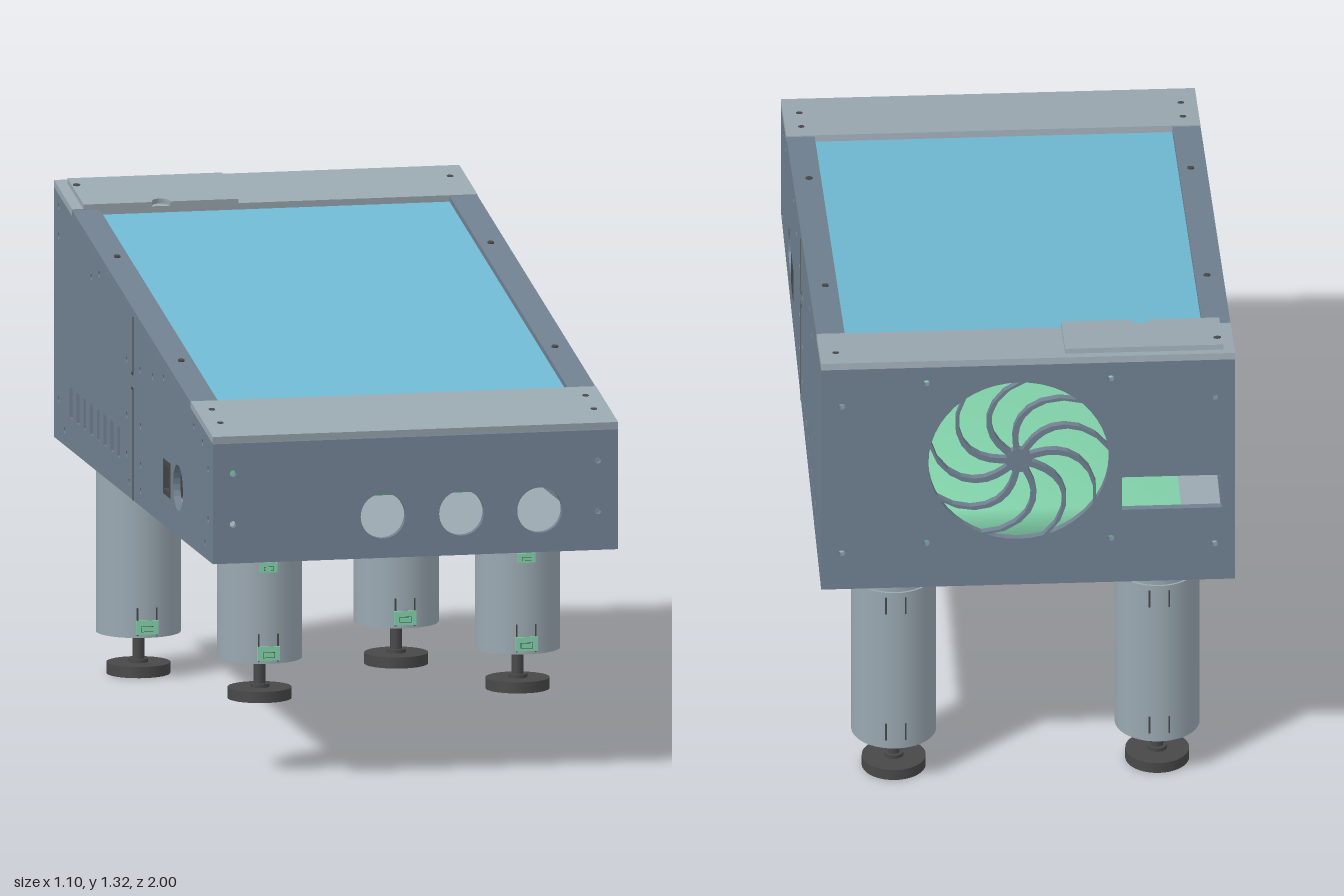
import * as THREE from 'three';
import { mergeVertices } from 'three/addons/utils/BufferGeometryUtils.js';

const mat = (name, color, side = THREE.FrontSide) => {
  const m = new THREE.MeshStandardMaterial({ color, side });
  m.name = name;
  return m;
};

export function createModel() {
  const body = mat('slate body', 0x708090);
  const light = mat('light grey', 0x9aa8b1);
  const dark = mat('dark grey', 0x484848);
  const blue = mat('screen blue', 0x6fb9d2);
  const green = mat('mint green', 0x80d0a8);
  const brown = mat('board brown', 0xb8864b);

  const model = new THREE.Group();
  model.name = 'slopedConsole';

  const add = (parent, name, geo, material, x = 0, y = 0, z = 0) => {
    const m = new THREE.Mesh(geo, material);
    m.name = name;
    m.position.set(x, y, z);
    parent.add(m);
    return m;
  };
  const box = (parent, name, w, h, d, material, x, y, z) =>
    add(parent, name, new THREE.BoxGeometry(w, h, d), material, x, y, z);
  const cyl = (parent, name, r, y0, y1, material, x = 0, z = 0, seg = 40) =>
    add(parent, name, new THREE.CylinderGeometry(r, r, y1 - y0, seg), material, x, (y0 + y1) / 2, z);

  const polygon = (pts) => new THREE.Shape(pts.map((p) => new THREE.Vector2(...p)));
  const rectPts = (x, y, w, h) => [
    [x - w / 2, y - h / 2], [x + w / 2, y - h / 2], [x + w / 2, y + h / 2], [x - w / 2, y + h / 2]];
  const rectHole = (s, x, y, w, h) => s.holes.push(polygon(rectPts(x, y, w, h)));
  const roundHole = (s, x, y, r) => s.holes.push(new THREE.Path().absarc(x, y, r, 0, Math.PI * 2, true));
  const extrude = (shape, depth, curveSegments = 12) =>
    new THREE.ExtrudeGeometry(shape, { depth, bevelEnabled: false, curveSegments });

  const T = 0.02, FLOOR = 0.62, SLOPE = 0.175;
  const wallTop = (z) => 1.118 - SLOPE * z;

  // Side walls, drawn with shape x = -z
  const side = polygon([[-1, FLOOR], [1, FLOOR], [1, wallTop(-1)], [-1, wallTop(1)]]);
  const screws = [[0.94, 0.865], [0.94, 0.73], [0.9, 0.66], [0.87, 0.925], [0.76, 0.95],
    [0.38, 1.015], [0.24, 0.995], [0.085, 0.985], [0.09, 0.835], [0.09, 0.73], [0.09, 0.66],
    [-0.085, 0.985], [-0.085, 0.835], [-0.085, 0.73], [-0.055, 0.66], [-0.43, 1.155],
    [-0.53, 1.13], [-0.94, 1.25], [-0.94, 1.17], [-0.94, 0.73], [-0.865, 0.66]];
  screws.forEach(([z, y]) => roundHole(side, -z, y, 0.009));
  for (let i = 0; i < 8; i++) rectHole(side, 0.185 + i * 0.0855, 0.747, 0.036, 0.083);
  roundHole(side, -0.56, 0.75, 0.062);
  rectHole(side, -0.422, 0.752, 0.094, 0.094);
  const sideGeo = extrude(side, T).rotateY(Math.PI / 2);

  // Square socket frame set in each side wall
  const frame = polygon(rectPts(-0.422, 0.752, 0.094, 0.094));
  rectHole(frame, -0.422, 0.752, 0.064, 0.064);
  const frameGeo = extrude(frame, 0.04).rotateY(Math.PI / 2);

  for (const s of [1, -1]) {
    const n = s > 0 ? 'left' : 'right';
    add(model, n + 'Wall', sideGeo, body, s > 0 ? 0.55 - T : -0.55);
    add(model, n + 'Socket', frameGeo, dark, s > 0 ? 0.511 : -0.551);
    // Panel joint with a small step
    const sx = s * 0.55;
    box(model, n + 'JointLower', 0.003, 0.3, 0.006, dark, sx, 0.77, 0);
    box(model, n + 'JointUpper', 0.003, 0.155, 0.006, dark, sx, 1.037, 0);
    for (const y of [0.92, 0.96]) box(model, n + 'JointStep', 0.003, 0.006, 0.025, dark, sx, y, -0.012);
  }

  // Front wall with three round openings
  const W = 0.53;
  const front = polygon([[-W, FLOOR], [W, FLOOR], [W, wallTop(1)], [-W, wallTop(1)]]);
  [-0.088, 0.125, 0.337].forEach((x) => roundHole(front, x, 0.733, 0.061));
  for (const x of [-0.495, 0.495]) for (const y of [0.725, 0.862]) roundHole(front, x, y, 0.009);
  add(model, 'frontWall', extrude(front, T, 20), body, 0, 0, 1 - T);

  // Back wall with fan opening and port slot
  const back = polygon([[-W, FLOOR], [W, FLOOR], [W, wallTop(-1)], [-W, wallTop(-1)]]);
  const FX = 0.025, FY = 1.0, FR = 0.24;
  roundHole(back, FX, FY, FR);
  rectHole(back, -0.382, 0.89, 0.265, 0.1);
  for (const x of [-0.495, 0.495]) for (const y of [0.73, 1.18]) roundHole(back, x, y, 0.009);
  for (const x of [-0.22, 0.27]) for (const y of [0.755, 1.245]) roundHole(back, x, y, 0.009);
  add(model, 'backWall', extrude(back, T, 24), body, 0, 0, -1);

  // Fan grille: hub and swept spokes
  const grille = new THREE.Group();
  grille.name = 'fanGrille';
  grille.position.set(FX, FY, -1);
  model.add(grille);
  const a = [], b = [];
  for (let i = 0; i <= 8; i++) {
    const t = i / 8, r = 0.02 + t * (FR - 0.015), ang = 0.95 * t * t, w = 0.008;
    const c = Math.cos(ang), s = Math.sin(ang);
    a.push([r * c + s * w, r * s - c * w]);
    b.unshift([r * c - s * w, r * s + c * w]);
  }
  const spokeGeo = extrude(polygon([...a, ...b]), T);
  const SPOKES = 9;
  for (let i = 0; i < SPOKES; i++)
    add(grille, 'fanSpoke', spokeGeo, body).rotation.z = (i / SPOKES) * Math.PI * 2;
  const hub = new THREE.CylinderGeometry(0.035, 0.035, T, 24).rotateX(Math.PI / 2);
  add(grille, 'fanHub', hub, body, 0, 0, T / 2 - 0.001);

  // Floor with four slots, shape y = -z
  const floor = polygon(rectPts(0, 0, 1.06, 1.96));
  for (const x of [-0.435, 0.435]) for (const z of [-0.1, -0.76]) rectHole(floor, x, -z, 0.03, 0.09);
  add(model, 'floor', extrude(floor, T).rotateX(-Math.PI / 2), light, 0, FLOOR, 0);
  box(model, 'floorJoint', 1.06, 0.003, 0.006, dark, 0, FLOOR, -0.02);

  // Soft-shaded block inside the cabinet
  const blockGeo = new THREE.BoxGeometry(0.82, 0.16, 1.12);
  blockGeo.deleteAttribute('uv');
  blockGeo.deleteAttribute('normal');
  const softBlock = mergeVertices(blockGeo);
  softBlock.computeVertexNormals();
  add(model, 'innerBlock', softBlock, green, 0, 0.725, -0.36);

  // Sloped top: local y = 0 is its upper surface
  const top = new THREE.Group();
  top.name = 'slopedTop';
  top.position.y = 1.137;
  top.rotation.x = Math.atan(SLOPE);
  model.add(top);
  const LT = 0.018;
  const plate = (name, z0, z1) =>
    box(top, name, 1.1, LT, z1 - z0, light, 0, -LT / 2, (z0 + z1) / 2);
  plate('frontTopPlate', 0.731, 1.0135);
  plate('rearTopPlate', -1.0135, -0.782);
  for (const s of [1, -1]) {
    box(top, 'topSideStrip', 0.075, LT - 0.003, 1.513, body, s * 0.5125, -LT / 2 - 0.0015, -0.0255);
    for (const z of [-0.93, -0.41, 0.41, 0.8, 0.905])
      cyl(top, 'topScrew', 0.009, -0.004, 0.001, dark, s * 0.507, z, 12);
  }
  box(top, 'screen', 0.99, 0.012, 1.56, blue, 0, -0.026, -0.025);
  box(top, 'screenBackBoard', 0.9, 0.02, 1.26, brown, 0, -0.043, 0.07);

  // Raised cover on the rear plate with a finger notch, shape y = -z
  const cover = new THREE.Shape();
  cover.moveTo(-0.52, 0.777);
  cover.lineTo(-0.335, 0.777);
  cover.absarc(-0.31, 0.777, 0.025, Math.PI, 0, true);
  cover.lineTo(-0.1, 0.777);
  cover.lineTo(-0.1, 0.985);
  cover.lineTo(-0.52, 0.985);
  add(top, 'rearCover', extrude(cover, 0.014).rotateX(-Math.PI / 2), light);
  cyl(top, 'coverScrew', 0.01, 0.012, 0.0155, dark, -0.507, -0.93, 12);

  // Legs with clips and levelling feet
  const R = 0.113;
  const makeLeg = (name, x, z, bottom, foot) => {
    const leg = new THREE.Group();
    leg.name = name;
    leg.position.set(x, 0, z);
    model.add(leg);
    cyl(leg, 'legTube', R, bottom, 0.59, light);
    cyl(leg, 'legCollar', 0.107, 0.59, FLOOR, light);
    cyl(leg, 'footRod', 0.016, foot + 0.03, bottom + 0.01, dark, 0, 0, 20);
    cyl(leg, 'footNut', 0.026, foot + 0.025, foot + 0.04, dark, 0, 0, 20);
    cyl(leg, 'footPad', 0.085, foot, foot + 0.03, dark);
    for (const [y, w, h] of [[0.565, 0.048, 0.026], [bottom + 0.028, 0.06, 0.038]]) {
      box(leg, 'legClip', w, h, 0.009, green, 0, y, R - 0.001);
      box(leg, 'clipSlot', w * 0.55, h * 0.4, 0.003, dark, 0, y - h * 0.1, R + 0.003);
      box(leg, 'clipInsert', w * 0.5, h * 0.32, 0.003, green, 0, y - h * 0.1, R + 0.004);
    }
    for (const sx of [-1, 1]) {
      box(leg, 'frontSlit', 0.004, 0.075, 0.004, dark, sx * 0.026, bottom + 0.043, R - 0.003);
      for (const y of [0.55, bottom + 0.05])
        box(leg, 'rearSlit', 0.005, 0.05, 0.004, dark, sx * 0.026, y, -R + 0.003);
    }
  };
  for (const s of [1, -1]) {
    const n = s > 0 ? 'Left' : 'Right';
    makeLeg('front' + n + 'Leg', s * 0.35, 0.66, 0.305, 0.195);
    makeLeg('rear' + n + 'Leg', s * 0.35, -0.865, 0.113, 0);
  }
  return model;
}
